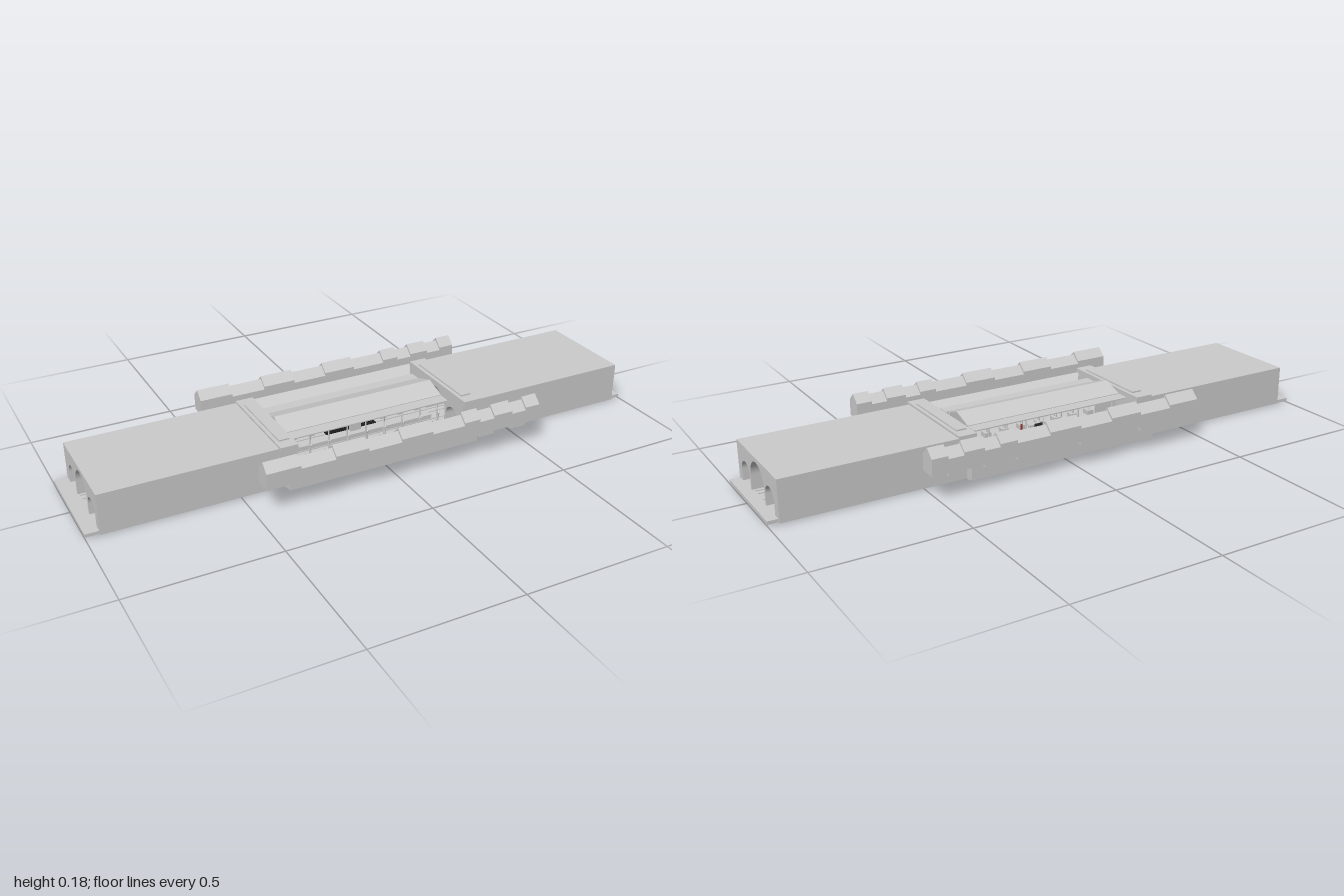
import * as THREE from 'three';

const grey = new THREE.MeshStandardMaterial({ color: 0xcccccc, flatShading: true });
const sheet = new THREE.MeshStandardMaterial({ color: 0xcccccc, flatShading: true, side: THREE.DoubleSide });
const black = new THREE.MeshStandardMaterial({ color: 0x222222 });
const red = new THREE.MeshStandardMaterial({ color: 0x993322 });
const MID = -0.009; // centre line of the station across z

function add(parent, name, geometry, material = grey) {
  const mesh = new THREE.Mesh(geometry, material);
  mesh.name = name;
  parent.add(mesh);
  return mesh;
}

// box given by its limits on each axis
function block(parent, name, x0, x1, y0, y1, z0, z1, material = grey) {
  const mesh = add(parent, name, new THREE.BoxGeometry(x1 - x0, y1 - y0, z1 - z0), material);
  mesh.position.set((x0 + x1) / 2, (y0 + y1) / 2, (z0 + z1) / 2);
  return mesh;
}

// cross-section drawn in (z, y), swept along x
function sweep(parent, name, shape, x0, x1, material = grey) {
  const g = new THREE.ExtrudeGeometry(shape, { depth: x1 - x0, bevelEnabled: false, curveSegments: 20 });
  g.rotateY(-Math.PI / 2);
  g.translate(x1, 0, 0);
  return add(parent, name, g, material);
}

function polygon(points) {
  return new THREE.Shape(points.map(([z, y]) => new THREE.Vector2(z, y)));
}

function archHole(z, radius, top) {
  const p = new THREE.Path();
  p.moveTo(z - radius, 0.015);
  p.lineTo(z + radius, 0.015);
  p.lineTo(z + radius, top - radius);
  p.absarc(z, top - radius, radius, 0, Math.PI, false);
  p.closePath();
  return p;
}

function tunnelShape() {
  const s = polygon([[-0.188, 0.003], [0.17, 0.003], [0.17, 0.142], [-0.188, 0.142]]);
  s.holes.push(archHole(MID + 0.002, 0.0615, 0.127), archHole(0.1, 0.038, 0.092), archHole(-0.115, 0.038, 0.092));
  return s;
}

function cylinder(parent, name, radius, height, x, y, z, material = grey, sides = 10) {
  const mesh = add(parent, name, new THREE.CylinderGeometry(radius, radius, height, sides), material);
  mesh.position.set(x, y, z);
  return mesh;
}

// row of gabled houses, alternately high and low
function houseRow(z) {
  const row = new THREE.Group();
  row.name = 'houseRow';
  const cuts = [-0.47, -0.355, -0.235, -0.12, 0, 0.115, 0.235, 0.295, 0.35, 0.42, 0.475, 0.53];
  for (let i = 0; i < cuts.length - 1; i++) {
    const y = i % 2 ? 0.082 : 0.092;
    const w = 0.03;
    const shape = polygon([[z - w, y], [z + w, y], [z + w, y + 0.056], [z, y + 0.084], [z - w, y + 0.056]]);
    sweep(row, 'house', shape, cuts[i], cuts[i + 1]);
  }
  return row;
}

function steamTrain() {
  const train = new THREE.Group();
  train.name = 'train';
  const z = -0.045;
  block(train, 'chassis', -0.1, 0.09, 0.024, 0.03, z - 0.013, z + 0.013, black);
  cylinder(train, 'boiler', 0.013, 0.075, 0.043, 0.045, z, black, 16).rotation.z = Math.PI / 2;
  block(train, 'cab', -0.03, 0.006, 0.03, 0.064, z - 0.014, z + 0.014, black);
  block(train, 'tender', -0.1, -0.037, 0.03, 0.052, z - 0.013, z + 0.013, black);
  cylinder(train, 'chimney', 0.003, 0.024, 0.066, 0.068, z, red);
  for (const x of [-0.085, -0.052, -0.015, 0.02, 0.045, 0.07]) {
    for (const side of [-1, 1]) {
      cylinder(train, 'wheel', 0.008, 0.003, x, 0.0255, z + side * 0.012, black, 14).rotation.x = Math.PI / 2;
    }
  }
  return train;
}

export function createModel() {
  const model = new THREE.Group();
  model.name = 'station';

  // ground plates
  block(model, 'leftPlate', 0.3, 1, 0.004, 0.015, -0.18, 0.165);
  block(model, 'rightPlate', -1, -0.3, 0.004, 0.015, -0.188, 0.165);
  block(model, 'stationFloor', -0.35, 0.35, 0, 0.0145, -0.2, 0.18);

  // triple-arched tunnels with their inner parapets
  for (const [x0, x1, p0, p1] of [[-0.955, -0.305, -0.365, -0.305], [0.315, 0.965, 0.315, 0.375]]) {
    sweep(model, 'tunnel', tunnelShape(), x0, x1);
    block(model, 'parapet', p0 - 0.001, p1 + 0.001, 0.133, 0.149, -0.189, 0.18);
    block(model, 'parapetCap', p0 + 0.012, p1 - 0.012, 0.149, 0.154, -0.145, 0.138);
  }

  // side halls and their tilted awnings
  block(model, 'frontHall', -0.352, 0.352, 0.007, 0.092, 0.172, 0.21);
  block(model, 'backHall', -0.352, 0.352, 0.007, 0.092, -0.221, -0.188);
  for (const [z0, z1] of [[0.17, 0.226], [-0.188, -0.239]]) {
    const lo = 0.0955, hi = 0.113, t = 0.0008;
    const s = polygon([[z0, lo - t], [z1, hi - t], [z1, hi + t], [z0, lo + t]]);
    sweep(model, 'awning', s, -0.35, 0.35, sheet);
  }

  // central gabled roof with lower wings
  const w = 0.075, t = 0.004;
  const gable = polygon([[MID - w, 0.129], [MID, 0.154], [MID + w, 0.129], [MID + w, 0.129 + t],
    [MID, 0.154 + t], [MID - w, 0.129 + t]]);
  sweep(model, 'gableRoof', gable, -0.305, 0.29, sheet);
  for (const side of [-1, 1]) {
    const za = MID + side * w, zb = MID + side * 0.12;
    block(model, 'wingRoof', -0.305, 0.29, 0.127, 0.131, Math.min(za, zb), Math.max(za, zb));
    // platform kerbs
    const zk = MID + side * 0.155;
    block(model, 'kerb', -0.305, 0.315, 0.014, 0.018, zk - 0.008, zk + 0.008);
  }

  // rows of roof supports, benches and lamps along both platforms
  for (const side of [-1, 1]) {
    const z = MID + side * 0.0745;
    for (let i = 0; i < 9; i++) {
      const x = -0.28 + i * 0.07;
      block(model, 'plinth', x - 0.012, x + 0.012, 0.014, 0.031, z - 0.015, z + 0.015);
      cylinder(model, 'column', 0.0025, 0.098, x, 0.08, z - side * 0.005);
      const lamp = add(model, 'lamp', new THREE.SphereGeometry(0.004, 8, 6));
      lamp.position.set(x, 0.066, z + side * 0.006);
      cylinder(model, 'lampPost', 0.0015, 0.034, x, 0.048, z + side * 0.006);
    }
  }

  // rails of the two centre tracks
  for (const zt of [-0.045, 0.027]) {
    for (const side of [-1, 1]) {
      const z = zt + side * 0.012;
      block(model, 'rail', -0.95, 0.96, 0.014, 0.0175, z - 0.0015, z + 0.0015);
    }
  }

  // kiosk on the middle platform
  block(model, 'middlePlatform', -0.29, 0.29, 0.014, 0.03, -0.027, 0.009);
  block(model, 'kiosk', -0.02, 0.02, 0.03, 0.057, -0.026, -0.012);
  block(model, 'kioskRoof', -0.023, 0.023, 0.057, 0.06, -0.028, -0.01);

  model.add(steamTrain(), houseRow(0.277), houseRow(-0.275));
  return model;
}
